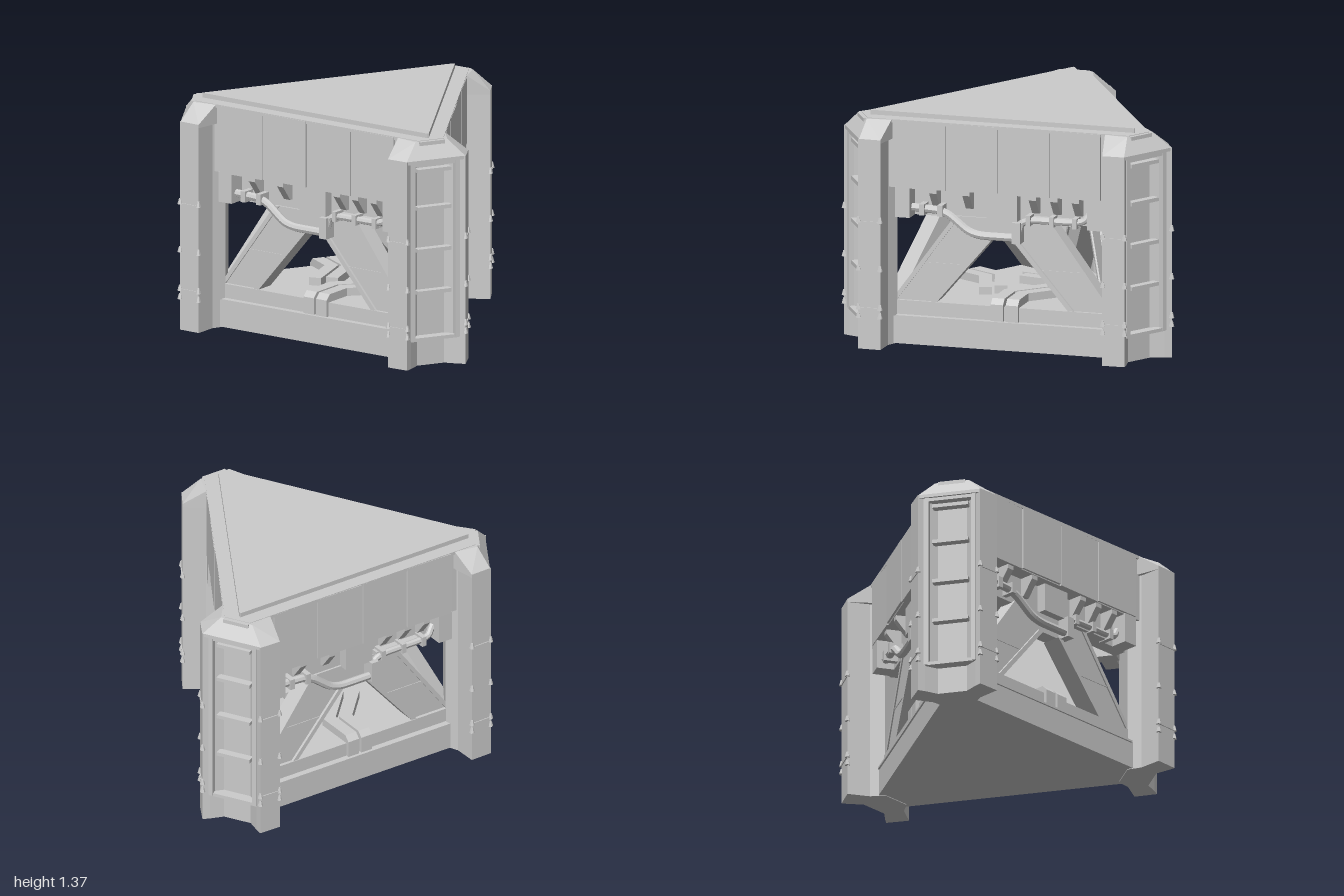
import * as THREE from 'three';
import { ConvexGeometry } from 'three/addons/geometries/ConvexGeometry.js';

const grey = new THREE.MeshStandardMaterial({ color: 0xcccccc, flatShading: true });

function add(parent, name, geometry) {
  const mesh = new THREE.Mesh(geometry, grey);
  mesh.name = name;
  parent.add(mesh);
  return mesh;
}

function shapeOf(points) {
  return new THREE.Shape(points.map(([x, y]) => new THREE.Vector2(x, y)));
}

// Box given by its limits on each axis
function box(parent, name, x0, x1, y0, y1, z0, z1) {
  const mesh = add(parent, name, new THREE.BoxGeometry(x1 - x0, y1 - y0, z1 - z0));
  mesh.position.set((x0 + x1) / 2, (y0 + y1) / 2, (z0 + z1) / 2);
  return mesh;
}

// Horizontal slab from an [x, z] outline
function slab(parent, name, outline, y0, y1) {
  const shape = shapeOf(outline.map(([x, z]) => [x, -z]));
  const geometry = new THREE.ExtrudeGeometry(shape, { depth: y1 - y0, bevelEnabled: false });
  geometry.rotateX(-Math.PI / 2).translate(0, y0, 0);
  return add(parent, name, geometry);
}

// Upright plate from an [x, y] outline
function plate(parent, name, outline, z0, z1) {
  const geometry = new THREE.ExtrudeGeometry(shapeOf(outline), { depth: z1 - z0, bevelEnabled: false });
  geometry.translate(0, 0, z0);
  return add(parent, name, geometry);
}

// Triangle of the given inradius, its corners cut off at distance cut
function triangle(inradius, cut) {
  const half = (2 * inradius - cut) * Math.tan(Math.PI / 6);
  const points = [];
  for (let i = 0; i < 3; i++) {
    const a = (i * 2 * Math.PI) / 3, c = Math.cos(a), s = Math.sin(a);
    for (const x of [-half, half]) points.push([x * c + cut * s, -x * s + cut * c]);
  }
  return points;
}

function pipe(parent, name, points, radius) {
  const path = new THREE.CurvePath();
  const v = points.map((p) => new THREE.Vector3(...p));
  // Straight runs joined by short rounded bends
  let from = v[0];
  for (let i = 1; i < v.length - 1; i++) {
    const before = v[i].clone().lerp(v[i - 1], 0.3), after = v[i].clone().lerp(v[i + 1], 0.3);
    path.add(new THREE.LineCurve3(from, before));
    path.add(new THREE.QuadraticBezierCurve3(before, v[i], after));
    from = after;
  }
  path.add(new THREE.LineCurve3(from, v[v.length - 1]));
  return add(parent, name, new THREE.TubeGeometry(path, 36, radius, 8, false));
}

// Corner leg with a ladder trough on its outer side
function makeLeg() {
  const leg = new THREE.Group();
  leg.name = 'cornerLeg';
  const half = [[0.085, 0.955], [0.15, 1.01], [0.185, 1.035], [0.255, 0.92], [0.14, 0.85], [0.09, 0.78]];
  const mirrored = half.map(([x, z]) => [-x, z]).reverse();
  slab(leg, 'legShaft', [...half, ...mirrored], 0, 1.24);

  // Sloped crown
  const crown = [];
  for (const s of [-1, 1]) {
    for (const [x, y, z] of [[0.09, 1.22, 0.78], [0.255, 1.24, 0.92], [0.185, 1.24, 1.03], [0.185, 1.22, 1.03],
      [0.255, 1.22, 0.92], [0.14, 1.22, 0.85], [0.1, 1.335, 0.965], [0.15, 1.335, 0.83], [0.09, 1.335, 0.78]]) {
      crown.push(new THREE.Vector3(s * x, y, z));
    }
  }
  add(leg, 'legCrown', new ConvexGeometry(crown));
  box(leg, 'crownBlock', -0.08, 0.08, 1.22, 1.335, 0.9, 0.98);

  // Ladder frame and rungs
  for (const s of [-1, 1]) {
    const x = s * 0.14;
    box(leg, 'ladderRail', x - 0.014, x + 0.014, 0.165, 1.22, 0.97, 1.022);
  }
  for (const y of [0.17, 1.21]) box(leg, 'ladderFrameBar', -0.15, 0.15, y - 0.01, y + 0.01, 0.95, 1.018);
  for (const y of [0.445, 0.695, 0.945, 1.17]) box(leg, 'rung', -0.106, 0.106, y - 0.011, y + 0.011, 0.965, 1.012);

  // Clips along the edges of the wing ends, and a strap across each
  for (const s of [-1, 1]) {
    for (const y of [0.2, 0.25, 0.48, 0.765]) {
      for (const [x, z] of [[0.185, 1.033], [0.253, 0.922]]) {
        const clip = add(leg, 'edgeClip', new THREE.CylinderGeometry(0.007, 0.016, 0.034, 6));
        clip.position.set(s * x, y, z);
      }
    }
    for (const y of [0.24, 0.75]) {
      const strap = add(leg, 'wingStrap', new THREE.BoxGeometry(0.008, 0.012, 0.125));
      strap.position.set(s * 0.221, y, 0.979);
      strap.rotation.y = -s * 0.547;
    }
  }
  return leg;
}

// One side of the frame, facing +z
function makeSide() {
  const side = new THREE.Group();
  side.name = 'side';

  // Four wall panels with small differences in depth and tilt
  const seams = [-0.62, -0.315, 0, 0.31, 0.62];
  for (let i = 0; i < 4; i++) {
    const panel = box(side, 'wallPanel', seams[i] + 0.004, seams[i + 1] - 0.004,
      0.935 + 0.006 * (i % 2), 1.333, 0.515, 0.546 + 0.003 * (i % 2));
    panel.rotation.y = [0.012, -0.01, 0.008, -0.012][i];
  }

  // Recessed beam under the panels with end blocks and hanging brackets
  box(side, 'underBeam', -0.64, 0.64, 0.76, 0.94, 0.36, 0.44);
  for (const s of [-1, 1]) {
    const x = s * 0.58;
    box(side, 'beamEndBlock', x - 0.045, x + 0.045, 0.76, 0.94, 0.4, 0.543);
  }
  box(side, 'centreBlock', -0.085, 0.1, 0.765, 0.94, 0.4, 0.5);
  for (const x of [-0.4, -0.2, 0.2, 0.33, 0.46]) {
    const bracket = plate(side, 'hangingBracket',
      [[0.43, 0.94], [0.53, 0.94], [0.53, 0.91], [0.46, 0.82], [0.43, 0.82]], -0.022, 0.022);
    bracket.rotation.y = -Math.PI / 2;
    bracket.position.x = x;
  }

  // Diagonal struts with raised rims
  for (const s of [-1, 1]) {
    const m = (pts) => pts.map(([x, y]) => [s * x, y]);
    plate(side, 'diagonalStrut', m([[0.29, 0.77], [0.67, 0.25], [0.4, 0.25], [0.06, 0.65], [0, 0.65], [0, 0.77]]), 0.36, 0.452);
    plate(side, 'strutRim', m([[0.4, 0.25], [0.435, 0.25], [0.095, 0.65], [0.06, 0.65]]), 0.35, 0.468);
    plate(side, 'strutRim', m([[0.29, 0.77], [0.67, 0.25], [0.64, 0.25], [0.26, 0.77]]), 0.35, 0.46);
    plate(side, 'strutBand', m([[0.209, 0.475], [0.506, 0.475], [0.499, 0.485], [0.2, 0.485]]), 0.45, 0.456);
  }

  // Service pipes, clamps and tray
  pipe(side, 'droppingPipe', [[-0.55, 0.815, 0.49], [-0.34, 0.805, 0.49], [-0.17, 0.675, 0.5], [0.12, 0.675, 0.5]], 0.024);
  pipe(side, 'sidePipe', [[0.1, 0.675, 0.49], [0.13, 0.785, 0.49], [0.49, 0.785, 0.49], [0.54, 0.85, 0.47]], 0.02);
  box(side, 'pipeClamp', 0.075, 0.125, 0.645, 0.77, 0.44, 0.53);
  for (const x of [-0.47, -0.36]) box(side, 'pipeClamp', x - 0.016, x + 0.016, 0.775, 0.84, 0.43, 0.522);
  for (const x of [0.17, 0.31, 0.45]) box(side, 'pipeClamp', x - 0.014, x + 0.014, 0.755, 0.815, 0.43, 0.517);
  box(side, 'pipeTray', 0.14, 0.47, 0.76, 0.8, 0.42, 0.482);

  // Pair of conduits climbing over the base rim and bending across the floor
  const bend = 0.75;
  for (const x of [-0.025, 0.065]) {
    const w = 0.037;
    box(side, 'conduitRiser', x - w, x + w, 0.165, 0.27, 0.44, 0.492);
    plate(side, 'conduitElbow', [[0.4, 0.25], [0.492, 0.25], [0.492, 0.27], [0.46, 0.302], [0.4, 0.302]], -w, w)
      .rotateY(-Math.PI / 2).position.x = x;
    const turn = 0.25 + x * 0.4, run = 0.3;
    const k = Math.tan(bend / 2) * w, dx = Math.sin(bend), dz = -Math.cos(bend);
    const px = w * Math.cos(bend), pz = w * Math.sin(bend);
    slab(side, 'floorConduit', [[x - w, 0.42], [x - w, turn - k], [x + dx * run - px, turn + dz * run - pz],
      [x + dx * run + px, turn + dz * run + pz], [x + w, turn + k], [x + w, 0.42]], 0.245, 0.302);
  }

  // Thin ledge along the base
  box(side, 'baseLedge', -0.63, 0.63, 0.16, 0.172, 0.46, 0.51);
  return side;
}

export function createModel() {
  const model = new THREE.Group();
  model.name = 'triangularPlatform';
  const frame = new THREE.Group();
  frame.name = 'frame';
  frame.position.z = -0.187;
  model.add(frame);

  // Base, deck and top plate
  slab(frame, 'base', triangle(0.5, 0.86), 0.004, 0.165);
  slab(frame, 'floor', triangle(0.472, 0.84), 0.165, 0.255);
  slab(frame, 'deck', triangle(0.535, 0.93), 0.935, 1.335);
  slab(frame, 'deckRim', triangle(0.546, 0.955), 1.318, 1.338);
  slab(frame, 'topPlate', triangle(0.4635, 0.92), 1.335, 1.365);

  for (let i = 0; i < 3; i++) {
    const leg = makeLeg();
    leg.rotation.y = (i * 2 * Math.PI) / 3;
    const side = makeSide();
    side.rotation.y = Math.PI / 3 + (i * 2 * Math.PI) / 3;
    frame.add(leg, side);
  }
  return model;
}
